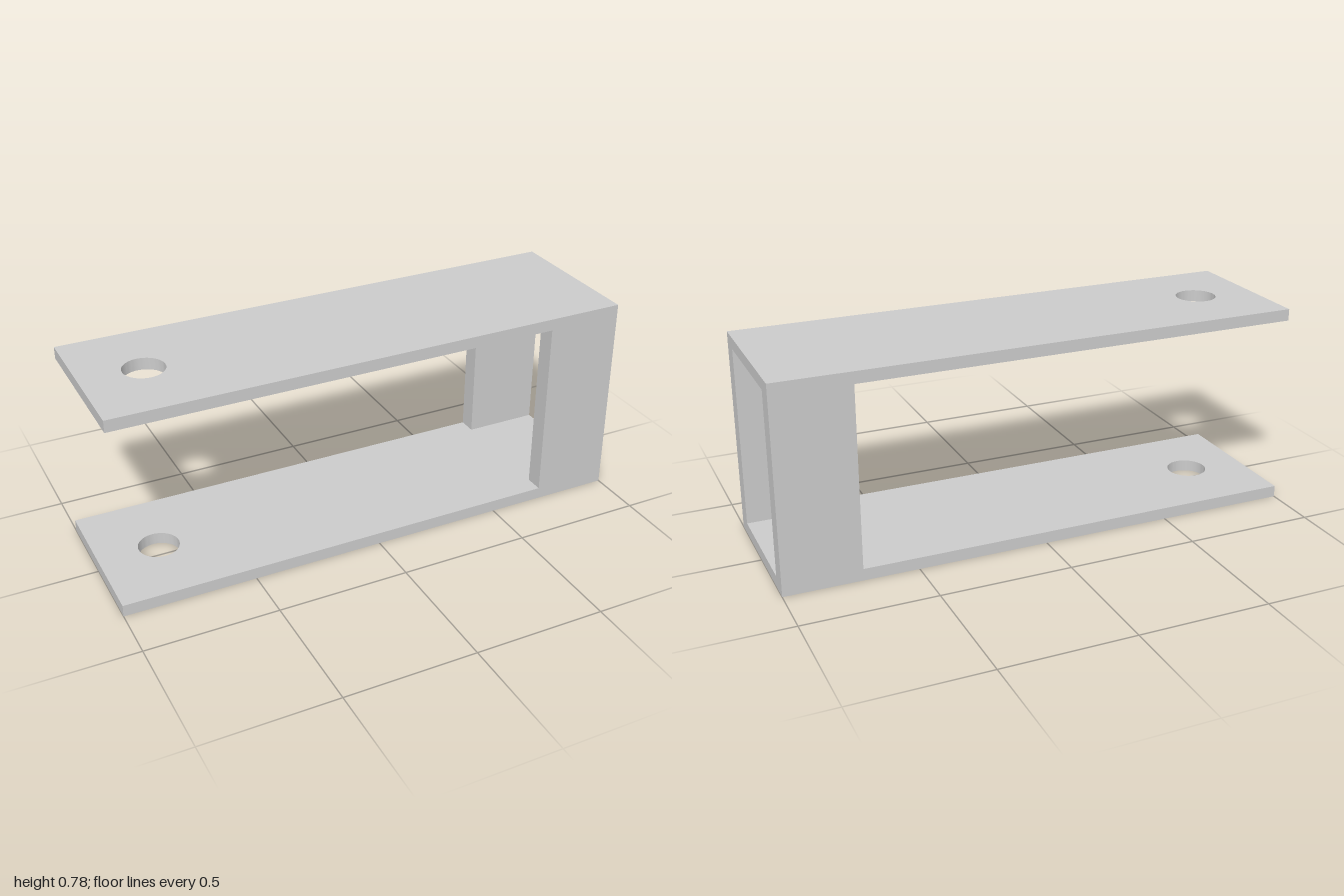
import * as THREE from 'three';
import { toCreasedNormals } from 'three/addons/utils/BufferGeometryUtils.js';

const HEIGHT = 0.78, HALF_DEPTH = 0.293, PLATE = 0.045;
const WALL_X = 0.708, WALL = 0.071;

export function createModel() {
  const group = new THREE.Group();
  group.name = 'clevisBracket';
  const material = new THREE.MeshStandardMaterial({ color: 0xcccccc });

  const add = (name, geometry, x, y, z) => {
    const mesh = new THREE.Mesh(geometry, material);
    mesh.name = name;
    mesh.position.set(x, y, z);
    group.add(mesh);
  };

  // Long flat arm with a round pin hole near its free end
  const outline = new THREE.Shape([
    new THREE.Vector2(-1, -HALF_DEPTH),
    new THREE.Vector2(1, -HALF_DEPTH),
    new THREE.Vector2(1, HALF_DEPTH),
    new THREE.Vector2(-1, HALF_DEPTH),
  ]);
  outline.holes.push(new THREE.Path().absarc(-0.767, 0, 0.077, 0, Math.PI * 2, true));
  const extruded = new THREE.ExtrudeGeometry(outline, {
    depth: PLATE, bevelEnabled: false, curveSegments: 32,
  });
  extruded.rotateX(-Math.PI / 2);
  const arm = toCreasedNormals(extruded, 0.6);
  add('lowerArm', arm, 0, 0, 0);
  add('upperArm', arm, 0, HEIGHT - PLATE, 0);

  // Two side walls join the arms and leave an open window between them
  const wall = new THREE.BoxGeometry(1 - WALL_X, HEIGHT - 2 * PLATE, WALL);
  for (const [name, side] of [['frontWall', 1], ['backWall', -1]]) {
    add(name, wall, (1 + WALL_X) / 2, HEIGHT / 2, side * (HALF_DEPTH - WALL / 2));
  }

  return group;
}
